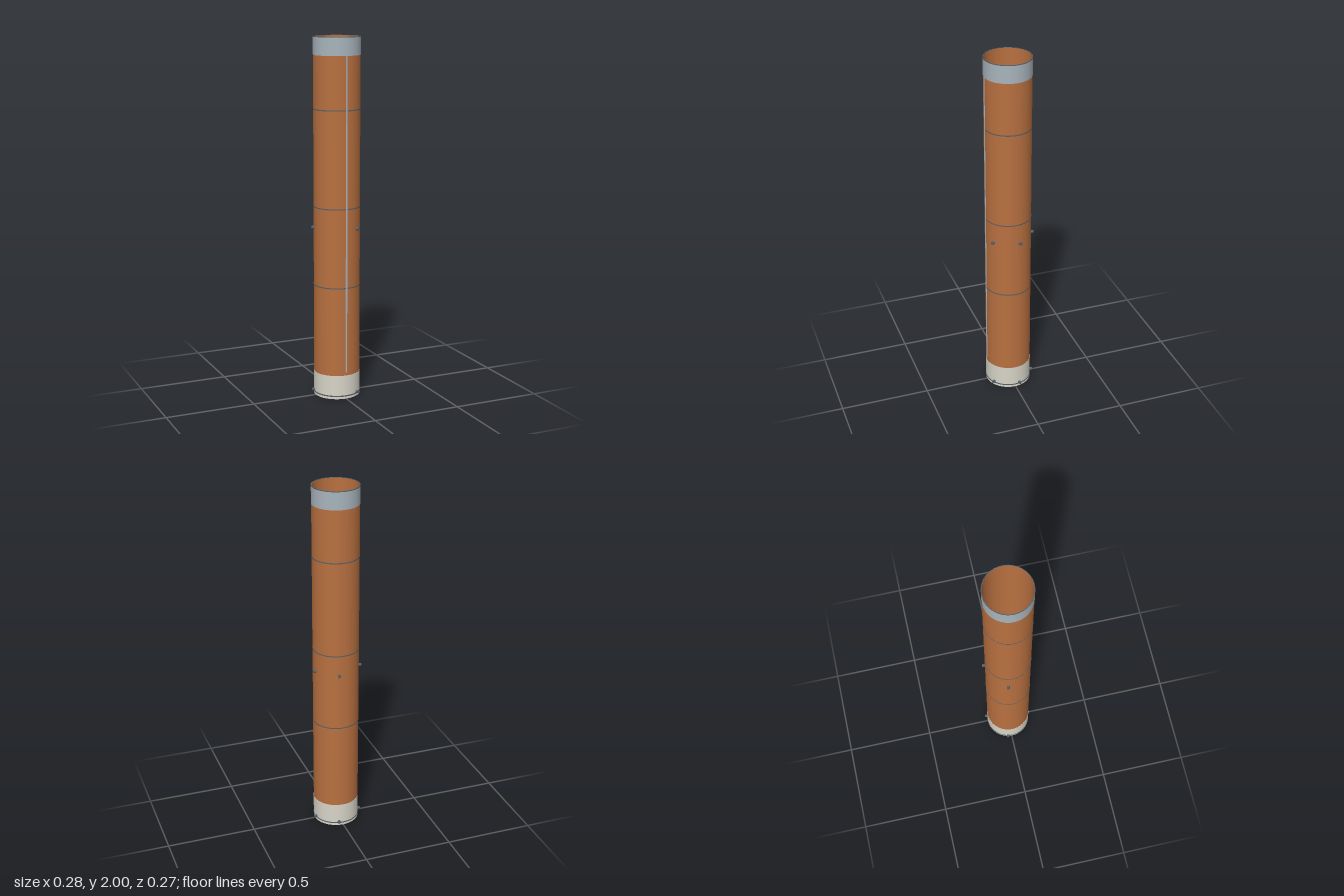
import * as THREE from 'three';

const mat = (name, color) => {
  const m = new THREE.MeshStandardMaterial({ color });
  m.name = name;
  return m;
};

export function createModel() {
  const orange = mat('copper orange', 0xb87040);
  const silver = mat('blue grey', 0xa8b4bc);
  const ivory = mat('warm ivory', 0xd8d4c8);
  const steel = mat('dark steel', 0x56616b);

  const model = new THREE.Group();
  model.name = 'tube';
  const body = new THREE.Group();
  body.name = 'body';
  body.position.z = 0.003;
  model.add(body);

  const add = (name, geometry, material) => {
    const mesh = new THREE.Mesh(geometry, material);
    mesh.name = name;
    body.add(mesh);
    return mesh;
  };

  // Hollow sleeve with square edges; each wall keeps its own normals
  const sleeve = (name, inner, outer, y0, y1, material) => {
    const group = new THREE.Group();
    group.name = name;
    const corners = [[inner, y0], [outer, y0], [outer, y1], [inner, y1]];
    corners.forEach((c, i) => {
      const pts = [c, corners[(i + 1) % 4]].map(([r, y]) => new THREE.Vector2(r, y));
      const mesh = new THREE.Mesh(new THREE.LatheGeometry(pts, 96), material);
      mesh.name = name + 'Wall';
      group.add(mesh);
    });
    body.add(group);
  };

  // Open main tube and its end bands
  sleeve('mainTube', 0.1255, 0.1278, 0.001, 1.998, orange);
  sleeve('topBand', 0.1275, 0.1288, 1.9, 1.997, silver);
  sleeve('bottomBand', 0.1275, 0.1288, 0, 0.135, ivory);

  // Thin joint rings and the end rims
  for (const y of [0.635, 1.075, 1.61]) {
    sleeve('jointRing', 0.1275, 0.1288, y - 0.003, y + 0.003, steel);
  }
  sleeve('topRim', 0.1262, 0.1292, 1.996, 2, steel);
  sleeve('bottomRing', 0.1275, 0.1294, 0.013, 0.02, steel);

  // Narrow strip down the front
  add('frontStrip', new THREE.BoxGeometry(0.008, 1.745, 0.005), silver)
    .position.set(0, 1.0275, 0.1287);

  // Two rows of radial pegs
  const pegGeometry = new THREE.CylinderGeometry(0.0085, 0.0085, 0.016, 20).rotateX(Math.PI / 2);
  for (const y of [0.025, 0.96]) {
    for (const degrees of [33.5, 101.5, 169, -101.5]) {
      const a = THREE.MathUtils.degToRad(degrees);
      const peg = add('peg', pegGeometry, steel);
      peg.position.set(Math.sin(a) * 0.135, y, Math.cos(a) * 0.135);
      peg.rotation.y = a;
    }
  }
  return model;
}
